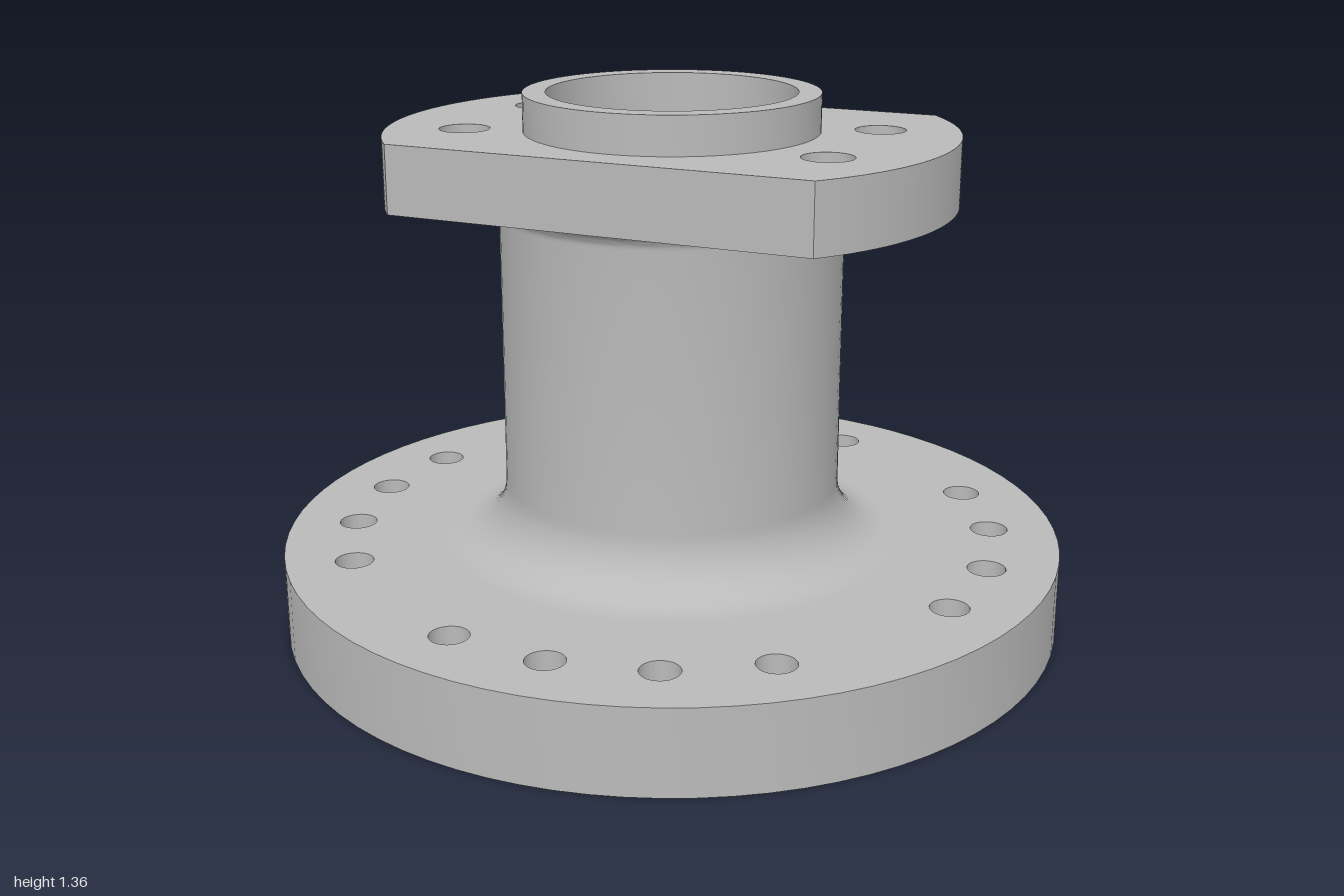
import * as THREE from 'three';
import { toCreasedNormals } from 'three/addons/utils/BufferGeometryUtils.js';

const BORE = 0.31;
const TAU = Math.PI * 2;

export function createModel() {
  const model = new THREE.Group();
  model.name = 'flangedHub';
  const metal = new THREE.MeshStandardMaterial({ color: 0xbababa });
  metal.name = 'grey metal';

  const add = (name, geometry) => {
    const mesh = new THREE.Mesh(toCreasedNormals(geometry, 0.5), metal);
    mesh.name = name;
    model.add(mesh);
  };
  const disc = (r) => new THREE.Shape().absarc(0, 0, r, 0, TAU, false);
  const drill = (shape, x, z, r) =>
    shape.holes.push(new THREE.Path().absarc(x, -z, r, 0, TAU, true));

  // Upright plate between two heights, with the central bore cut through
  const plate = (name, shape, y0, y1) => {
    drill(shape, 0, 0, BORE);
    const g = new THREE.ExtrudeGeometry(shape, { depth: y1 - y0, bevelEnabled: false, curveSegments: 40 });
    add(name, g.rotateX(-Math.PI / 2).translate(0, y0, 0));
  };

  // Base flange: four groups of four bolt holes
  const base = disc(1);
  for (let quarter = 0; quarter < 4; quarter++) {
    for (let i = 0; i < 4; i++) {
      const a = THREE.MathUtils.degToRad(quarter * 90 - 40 + i * 18);
      drill(base, 0.83 * Math.sin(a), -0.83 * Math.cos(a), 0.048);
    }
  }
  plate('baseFlange', base, 0, 0.215);

  // Neck: hollow tube with a large fillet below and a small one above
  const profile = [];
  const fillet = (cx, cy, r, from, to, steps) => {
    for (let i = 0; i <= steps; i++) {
      const a = THREE.MathUtils.degToRad(from + (to - from) * i / steps);
      profile.push(new THREE.Vector2(cx + r * Math.cos(a), cy + r * Math.sin(a)));
    }
  };
  fillet(0.58, 0.365, 0.15, 270, 180, 14);
  fillet(0.465, 1.06, 0.035, 180, 90, 8);
  profile.push(new THREE.Vector2(BORE, 1.095), new THREE.Vector2(BORE, 0.215));
  add('neck', new THREE.LatheGeometry(profile, 80));

  // Top flange: disc with two flat sides and four bolt holes
  const corner = Math.asin(0.463 / 0.708);
  const top = new THREE.Shape();
  top.absarc(0, 0, 0.708, -corner, corner, false);
  top.absarc(0, 0, 0.708, Math.PI - corner, Math.PI + corner, false);
  top.closePath();
  for (const x of [-0.473, 0.473]) {
    for (const z of [-0.197, 0.197]) drill(top, x, z, 0.063);
  }
  plate('topFlange', top, 1.095, 1.265);

  // Raised collar around the bore
  plate('collar', disc(0.367), 1.265, 1.36);

  return model;
}
